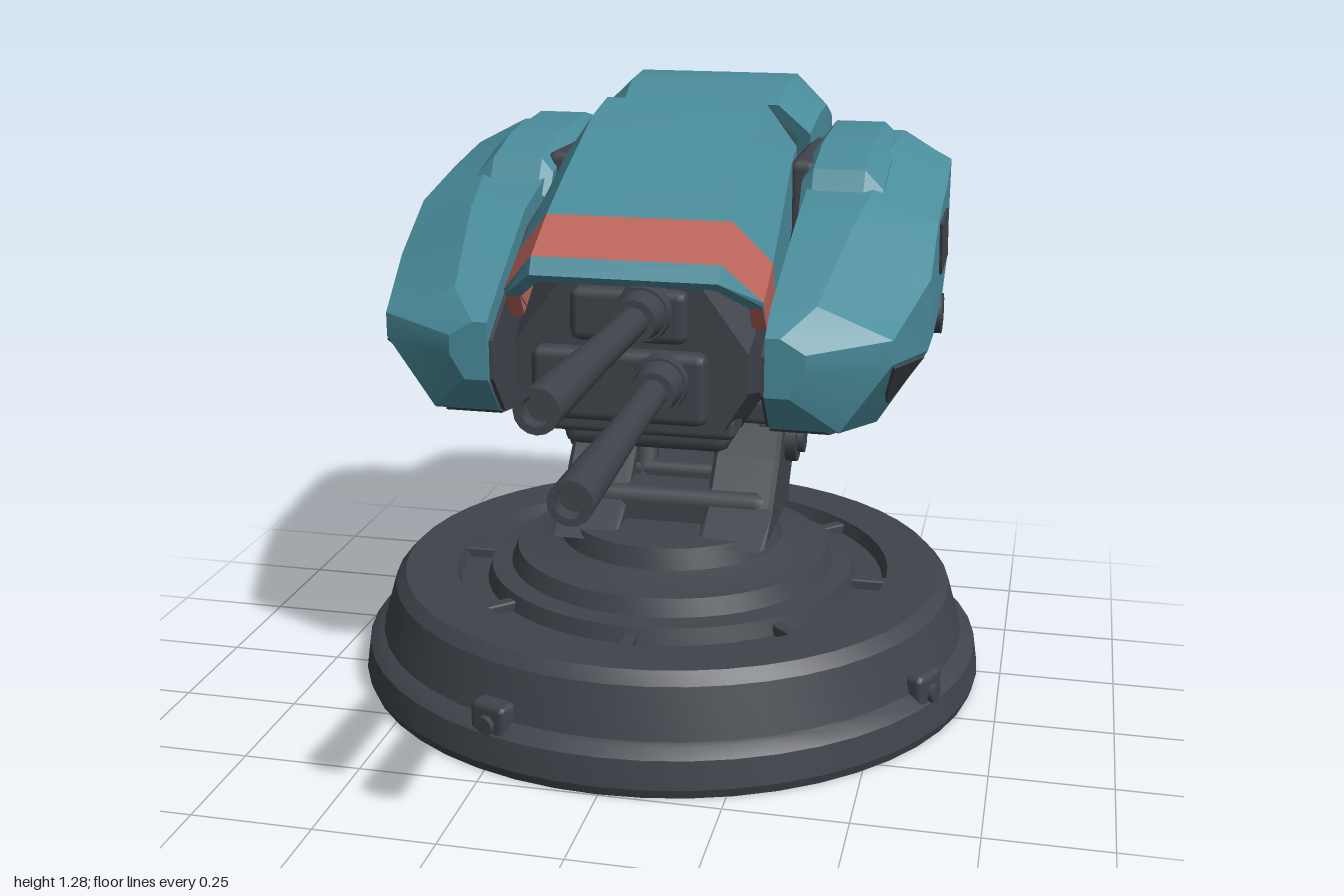
import * as THREE from 'three';
import { toCreasedNormals } from 'three/addons/utils/BufferGeometryUtils.js';
import { RoundedBoxGeometry } from 'three/addons/geometries/RoundedBoxGeometry.js';

const V = (x, y, z) => new THREE.Vector3(x, y, z);

export function createModel() {
  const model = new THREE.Group();
  const paint = (name, color) => Object.assign(new THREE.MeshStandardMaterial({ color }), { name });
  const teal = paint('teal armour', 0x4a8c9b);
  const dark = paint('dark metal', 0x40444b);
  const red = paint('red band', 0xbc655b);

  function add(name, geometry, material, x = 0, y = 0, z = 0) {
    const mesh = new THREE.Mesh(geometry, material);
    mesh.name = name;
    mesh.position.set(x, y, z);
    model.add(mesh);
    return mesh;
  }

  // Closed skin over equal rings; caps join point k to its partner N-1-k, so arches work too
  function loft(rings, crease = 0.5) {
    const n = rings[0].length, tris = [];
    const quad = (a, b, c, d) => tris.push([a, b, c], [a, c, d]);
    for (let i = 0; i < rings.length - 1; i++)
      for (let j = 0; j < n; j++) {
        const k = (j + 1) % n;
        quad(rings[i][j], rings[i][k], rings[i + 1][k], rings[i + 1][j]);
      }
    const last = rings[rings.length - 1];
    for (let k = 0; k < n / 2 - 1; k++) {
      quad(rings[0][k], rings[0][n - 1 - k], rings[0][n - 2 - k], rings[0][k + 1]);
      quad(last[k], last[k + 1], last[n - 2 - k], last[n - 1 - k]);
    }
    // Turn the skin outward if its volume comes out negative
    const volume = tris.reduce((s, [a, b, c]) => s + a.dot(b.clone().cross(c)), 0);
    const pos = tris.flatMap(([a, b, c]) => (volume < 0 ? [a, c, b] : [a, b, c])).flatMap(p => [p.x, p.y, p.z]);
    const g = new THREE.BufferGeometry();
    g.setAttribute('position', new THREE.Float32BufferAttribute(pos, 3));
    return toCreasedNormals(g, crease);
  }

  // Arched armour following a path of [z, y, halfWidth], running front to back
  function strap(path, chamfer, depth, cx = 0, from = 0, to = path.length - 1) {
    const rings = path.map(([z, y, w], i) => {
      const a = path[Math.max(i - 1, 0)], b = path[Math.min(i + 1, path.length - 1)];
      const len = Math.hypot(b[0] - a[0], b[1] - a[1]);
      const nz = -(b[1] - a[1]) / len, ny = (b[0] - a[0]) / len;
      const half = [[0.72 * w, 0], [w, chamfer], [w, depth], [w - 0.03, depth], [w - 0.03, chamfer + 0.01], [0.68 * w, 0.03]];
      const right = half.slice(0, 3), rightIn = half.slice(3);
      const flip = list => list.map(([x, d]) => [-x, d]).reverse();
      return [...flip(right), ...right, ...rightIn, ...flip(rightIn)].map(([x, d]) => V(cx + x, y + ny * d, z + nz * d));
    });
    return loft(rings.slice(from, to + 1));
  }

  // Rod between two points
  function rod(name, a, b, r0, r1, sides = 16) {
    const mesh = add(name, new THREE.CylinderGeometry(r1, r0, a.distanceTo(b), sides), dark);
    mesh.position.copy(a).add(b).multiplyScalar(0.5);
    mesh.quaternion.setFromUnitVectors(V(0, 1, 0), b.clone().sub(a).normalize());
  }
  const axle = (name, x0, x1, y, z, r, sides = 16) => rod(name, V(x0, y, z), V(x1, y, z), r, r, sides);
  const block = (name, w, h, d, x, y, z, r = 0.015) => add(name, new RoundedBoxGeometry(w, h, d, 1, r), dark, x, y, z);

  // Round pedestal with grooved top
  const baseZ = -0.195;
  const profile = [[0, 0], [0.692, 0], [0.699, 0.02], [0.69, 0.08], [0.668, 0.1], [0.658, 0.105], [0.628, 0.21], [0.605, 0.235],
    [0.49, 0.235], [0.48, 0.205], [0.42, 0.205], [0.41, 0.24], [0.365, 0.245], [0.35, 0.282], [0.295, 0.288], [0.25, 0.305],
    [0.235, 0.35], [0, 0.355]].map(p => new THREE.Vector2(...p));
  add('pedestal', toCreasedNormals(new THREE.LatheGeometry(profile, 48), 0.4), dark, 0, 0, baseZ);
  for (const degrees of [25, 111, 220, 305]) {
    const a = degrees * Math.PI / 180;
    const at = r => V(Math.cos(a) * r, 0.1, baseZ + Math.sin(a) * r);
    block('pedestalClip', 0.09, 0.09, 0.05, ...at(0.66)).rotation.y = Math.PI / 2 - a;
    rod('clipBolt', at(0.66), at(0.695), 0.025, 0.02, 8);
  }
  for (let i = 0; i < 8; i++) {
    const a = i * Math.PI / 4;
    block('grooveRib', 0.03, 0.03, 0.08, Math.cos(a) * 0.45, 0.212, baseZ + Math.sin(a) * 0.45, 0.005).rotation.y = Math.PI / 2 - a;
  }

  // Leaning neck arms and joint
  const armShape = new THREE.Shape([[-0.03, 0.34], [-0.13, 0.39], [-0.22, 0.48], [-0.28, 0.58], [-0.3, 0.64], [-0.42, 0.64],
    [-0.47, 0.52], [-0.45, 0.46], [-0.38, 0.38], [-0.38, 0.34]].map(p => new THREE.Vector2(...p)));
  for (const s of [-1, 1]) {
    const arm = new THREE.ExtrudeGeometry(armShape, { depth: 0.13, bevelSize: 0.01, bevelThickness: 0.01, bevelSegments: 1 });
    arm.translate(0, 0, -0.065).rotateY(-Math.PI / 2);
    add('neckArm', arm, dark, s * 0.165, 0, 0);
    axle('neckPivot', s * 0.2, s * 0.265, 0.5, -0.34, 0.055);
    axle('pivotCap', s * 0.265, s * 0.28, 0.5, -0.34, 0.035, 8);
    rod('neckStrut', V(s * 0.2, 0.54, -0.28), V(s * 0.2, 0.73, -0.33), 0.035, 0.035, 10);
  }
  block('neckFoot', 0.46, 0.1, 0.26, 0, 0.375, -0.25, 0.03);
  block('neckSaddle', 0.3, 0.08, 0.16, 0, 0.415, -0.3, 0.02);
  block('neckCrossbar', 0.54, 0.06, 0.2, 0, 0.615, -0.24);
  rod('neckPiston', V(-0.075, 0.4, -0.24), V(-0.075, 0.64, -0.31), 0.03, 0.025, 10);

  // Dark inner body: [z, half width, bottom, top]
  const core = [[0.21, 0.24, 0.68, 0.97], [0.05, 0.25, 0.64, 1.06], [-0.2, 0.25, 0.64, 1.17], [-0.38, 0.24, 0.62, 1.225],
    [-0.46, 0.24, 0.53, 1.225], [-0.65, 0.24, 0.515, 1.2], [-0.83, 0.22, 0.53, 1.1], [-0.94, 0.17, 0.66, 0.98]];
  add('innerBody', loft(core.map(([z, w, b, t]) => [[-0.8 * w, b], [-w, b + 0.08], [-w, t - 0.13], [-0.6 * w, t],
    [0.6 * w, t], [w, t - 0.13], [w, b + 0.08], [0.8 * w, b]].map(([x, y]) => V(x, y, z)))), dark);
  block('bellyBlock', 0.36, 0.08, 0.24, 0, 0.625, -0.03, 0.03);
  block('lowerGunMount', 0.36, 0.15, 0.08, -0.02, 0.765, 0.205, 0.02);
  block('upperGunMount', 0.24, 0.11, 0.06, 0, 0.91, 0.21, 0.02);
  block('chinPlate', 0.42, 0.05, 0.1, 0, 0.675, 0.14);

  // Twin barrels with collars and hollow muzzles
  const bore = [[0.029, 0], [0.031, 0.4], [0.036, 0.6], [0.039, 0.78], [0.026, 0.78], [0.024, 0.75], [0, 0.75]]
    .map(p => new THREE.Vector2(...p));
  for (const [a, b] of [[V(0.035, 0.922, 0.22), V(0.037, 0.945, 1)], [V(0.07, 0.783, 0.22), V(0.09, 0.795, 1)]]) {
    const barrel = add('gunBarrel', toCreasedNormals(new THREE.LatheGeometry(bore, 16), 0.5), dark);
    barrel.position.copy(a);
    barrel.quaternion.setFromUnitVectors(V(0, 1, 0), b.clone().sub(a).normalize());
    const at = t => a.clone().lerp(b, t);
    rod('barrelCollar', at(0), at(0.06), 0.06, 0.055);
    rod('barrelSleeve', at(0.06), at(0.15), 0.05, 0.044);
  }

  // Front roof armour with its red band
  const roof = [[0.272, 0.993, 0.262], [0.248, 1.026, 0.265], [0.13, 1.088, 0.265], [0, 1.15, 0.26], [-0.2, 1.24, 0.25], [-0.32, 1.265, 0.245]];
  add('roofLip', strap(roof, 0.1, 0.18, 0, 0, 1), teal);
  add('roofBand', strap(roof, 0.1, 0.18, 0, 1, 2), red);
  add('roofArmour', strap(roof, 0.1, 0.24, 0, 2, 5), teal);

  // Rear armour wrapping over the back, ending in two prongs
  const back = [[-0.49, 1.235, 0.25], [-0.6, 1.272, 0.258], [-0.72, 1.28, 0.26], [-0.85, 1.23, 0.26], [-0.945, 1.1, 0.255], [-0.98, 0.98, 0.245], [-0.99, 0.9, 0.225]];
  add('rearArmour', strap(back, 0.07, 0.14), teal);
  const prong = [[-0.985, 0.93, 0.085], [-0.993, 0.74, 0.08], [-0.94, 0.62, 0.07], [-0.82, 0.52, 0.05]];
  for (const s of [-1, 1]) {
    add('rearProng', strap(prong, 0.03, 0.12, s * 0.13), teal);
    // Rounded side housings of the rear body
    axle('rearHousing', s * 0.1, s * 0.245, 0.77, -0.66, 0.235, 14);
    axle('housingRim', s * 0.24, s * 0.265, 0.8, -0.67, 0.17, 14);
  }
  block('rearSlot', 0.12, 0.3, 0.1, 0, 0.79, -0.91, 0.03);

  // Side pods: [z, inner x, top edge x, outer x, bottom edge x, bottom, lower edge, upper edge, top]
  const pod = [[0.265, 0.28, 0.31, 0.36, 0.33, 0.77, 0.82, 0.86, 0.89], [0.19, 0.28, 0.37, 0.52, 0.42, 0.685, 0.83, 0.88, 0.94],
    [-0.05, 0.29, 0.41, 0.57, 0.47, 0.64, 0.8, 0.95, 1.06], [-0.2, 0.29, 0.43, 0.57, 0.51, 0.71, 0.8, 1.04, 1.1],
    [-0.42, 0.28, 0.44, 0.57, 0.54, 0.79, 0.84, 1.08, 1.15], [-0.6, 0.28, 0.45, 0.565, 0.54, 0.84, 0.88, 1.11, 1.17],
    [-0.68, 0.28, 0.45, 0.55, 0.53, 0.87, 0.91, 1.1, 1.16], [-0.73, 0.29, 0.43, 0.5, 0.48, 1.0, 1.02, 1.08, 1.11]];
  const cap = [[-0.18, 1.08], [-0.22, 1.14], [-0.35, 1.175], [-0.6, 1.19], [-0.69, 1.17], [-0.735, 1.1]];
  for (const s of [-1, 1]) {
    const rings = pod.map(([z, xi, xt, xo, xb, yb, yl, yu, yt]) =>
      [[xi, yb], [xi, yt], [xt, yt], [xo, yu], [xo, yl], [xb, yb]].map(([x, y]) => V(s * x, y, z)));
    add('sidePod', loft(rings, 0.3), teal);
    add('podCap', loft(cap.map(([z, y]) => [[0.28, 1.0], [0.275, y - 0.03], [0.3, y], [0.41, y], [0.45, y - 0.04], [0.45, 1.0]]
      .map(([x, yy]) => V(s * x, yy, z)))), teal);
    // Dark lining on the underside and inner wall of the pod
    add('podUnderside', loft(pod.slice(0, 7).map(([z, xi, , , xb, yb]) =>
      [[xi, yb], [xb - 0.02, yb], [xb - 0.02, yb - 0.008], [xi, yb - 0.008]].map(([x, y]) => V(s * x, y, z - 0.01)))), dark);
    add('podLining', loft(pod.slice(0, 7).map(([z, xi, , , , yb, , , yt]) =>
      [[xi, yb], [xi, yt - 0.04], [xi - 0.008, yt - 0.04], [xi - 0.008, yb]].map(([x, y]) => V(s * x, y, z - 0.01)))), dark);

    // Thin plate lying on one pod facet, with corners given as fractions [along, across]
    const plate = (name, i, j, corners) => {
      const [a, c, d] = [rings[i][j], rings[i + 1][j], rings[i + 1][j + 1]];
      const along = c.clone().sub(a), across = d.clone().sub(c);
      const n = along.clone().cross(across).normalize();
      if (n.x * s < 0) n.negate();
      const pts = corners.map(([u, v]) => a.clone().addScaledVector(along, u).addScaledVector(across, v));
      add(name, loft([-0.003, 0.006].map(o => pts.map(p => p.clone().addScaledVector(n, o)))), dark);
    };
    plate('podFrontVent', 1, 4, [[0.05, 0.03], [0.9, 0.04], [0.78, 0.66], [0.52, 0.5]]);
    plate('podSideWindow', 3, 3, [[0.18, 0.08], [0.97, 0.2], [1.15, 0.7], [0.36, 0.6]]);

    // Machinery under and beside each pod
    axle('podAxle', s * 0.24, s * 0.48, 0.715, -0.32, 0.07, 12);
    axle('podKnob', s * 0.48, s * 0.575, 0.8, -0.38, 0.045, 10);
    axle('podDrum', s * 0.24, s * 0.44, 0.79, -0.52, 0.12, 12);
    block('podBearing', 0.2, 0.18, 0.2, s * 0.36, 0.87, -0.58, 0.04);
    rod('podPipe', V(s * 0.3, 0.7, -0.28), V(s * 0.3, 0.65, -0.02), 0.035, 0.03, 10);
    block('podMount', 0.06, 0.4, 0.36, s * 0.27, 0.95, -0.43, 0.02);
  }
  return model;
}
